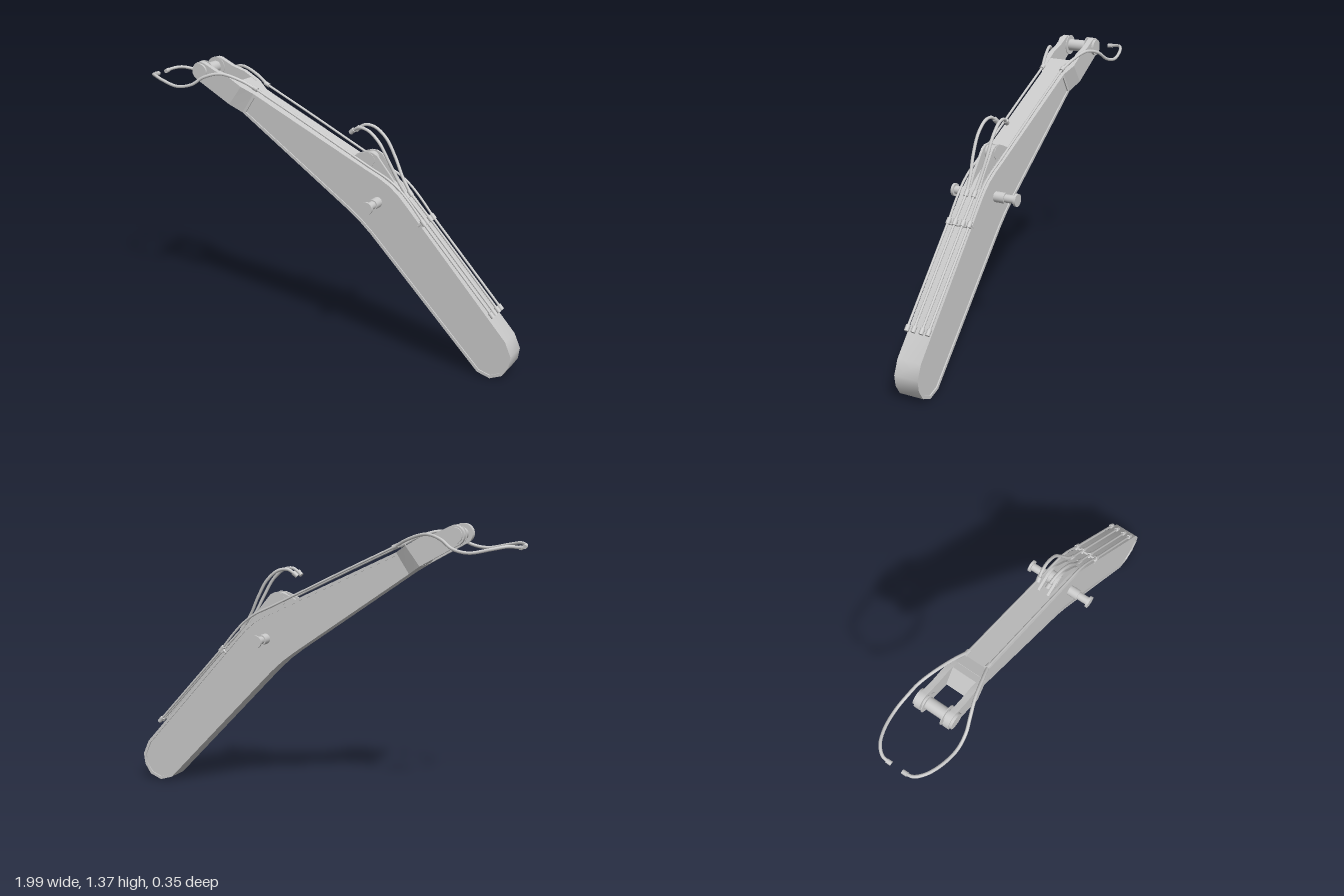
import * as THREE from 'three';
import { toCreasedNormals } from 'three/addons/utils/BufferGeometryUtils.js';

const material = new THREE.MeshStandardMaterial({ color: 0xcccccc });
const V2 = (p) => new THREE.Vector2(p[0], p[1]);
const V3 = (p) => new THREE.Vector3(p[0], p[1], p[2]);

export function createModel() {
  const model = new THREE.Group();

  const add = (name, geometry) => {
    const mesh = new THREE.Mesh(geometry, material);
    mesh.name = name;
    model.add(mesh);
    return mesh;
  };
  // Side outline extruded between two z positions
  const plate = (name, points, z0, z1, hole) => {
    const shape = new THREE.Shape(points.map(V2));
    if (hole) shape.holes.push(new THREE.Path(hole.map(V2)));
    const g = new THREE.ExtrudeGeometry(shape, { depth: z1 - z0, bevelEnabled: false });
    g.translate(0, 0, z0);
    return add(name, toCreasedNormals(g, 0.6));
  };
  // Cylinder along z
  const pin = (name, x, y, r, z0, z1, sides = 24) => {
    const g = new THREE.CylinderGeometry(r, r, Math.abs(z1 - z0), sides);
    g.rotateX(Math.PI / 2);
    g.translate(x, y, (z0 + z1) / 2);
    return add(name, g);
  };
  // Cylinder between two points
  const rod = (name, a, b, r, sides = 10) => {
    const p = V3(a), q = V3(b), d = q.clone().sub(p);
    const mesh = add(name, new THREE.CylinderGeometry(r, r, d.length(), sides));
    mesh.position.copy(p).add(q).multiplyScalar(0.5);
    mesh.quaternion.setFromUnitVectors(new THREE.Vector3(0, 1, 0), d.normalize());
    return mesh;
  };
  const hose = (name, points, r, segments = 48) =>
    add(name, new THREE.TubeGeometry(new THREE.CatmullRomCurve3(points.map(V3)), segments, r, 8));
  // Moves a counter-clockwise outline inward by d
  const inset = (pts, d) => pts.map((p, i) => {
    const a = V2(pts[(i + pts.length - 1) % pts.length]), b = V2(p), c = V2(pts[(i + 1) % pts.length]);
    const u = b.clone().sub(a).normalize(), v = c.clone().sub(b).normalize();
    const n = new THREE.Vector2(-u.y - v.y, u.x + v.x).normalize();
    const k = d / (n.x * -u.y + n.y * u.x);
    return [b.x + n.x * k, b.y + n.y * k];
  });

  // Bent box beam with a raised rim around its side panels
  const outline = [
    [-0.40, 1.237], [-0.465, 1.137], [0.13, 0.723], [0.19, 0.677], [0.25, 0.622], [0.31, 0.56],
    [0.825, 0.025], [0.89, 0.005], [0.95, 0.03], [0.982, 0.08], [0.99, 0.135], [0.96, 0.205],
    [0.44, 0.787], [0.40, 0.83], [0.35, 0.873], [0.29, 0.908], [0.22, 0.94],
  ];
  const panel = inset(outline, 0.014);
  plate('beamPanels', inset(outline, 0.007), -0.056, 0.056);
  plate('beamRim', outline, -0.062, 0.062, panel);

  // Flared section joining the beam to the fork
  const flare = new THREE.BoxGeometry(1, 1, 1);
  const pos = flare.attributes.position;
  for (let i = 0; i < pos.count; i++) {
    const beamEnd = pos.getX(i) > 0, top = pos.getY(i) > 0;
    const [x, y] = beamEnd ? (top ? [-0.40, 1.237] : [-0.465, 1.137])
      : (top ? [-0.455, 1.272] : [-0.525, 1.177]);
    pos.setXYZ(i, x, y, Math.sign(pos.getZ(i)) * (beamEnd ? 0.062 : 0.09));
  }
  flare.computeVertexNormals();
  add('flare', flare);
  plate('forkWeb', [[-0.455, 1.27], [-0.49, 1.29], [-0.55, 1.2], [-0.525, 1.178]], -0.065, 0.065);

  // Fork arms with rounded tips
  const tip = [-0.69, 1.325];
  const arm = [[-0.525, 1.177], [-0.455, 1.272], [-0.53, 1.315], [-0.6, 1.335]];
  for (let i = 0; i <= 12; i++) {
    const t = 1.2 + (i / 12) * 3.0;
    arm.push([tip[0] + 0.048 * Math.cos(t), tip[1] + 0.048 * Math.sin(t)]);
  }

  // Fork pin
  pin('forkPin', ...tip, 0.03, -0.1, 0.1);

  // Bracket with a cross boss on the upper bend
  const lug = [[0.12, 0.98], [0.30, 0.88], [0.40, 0.82], [0.35, 0.9], [0.29, 0.975],
    [0.265, 1.005], [0.24, 1.017], [0.21, 1.018], [0.18, 1.008]];
  pin('bracketBoss', 0.22, 0.98, 0.034, -0.034, 0.034);

  for (const s of [1, -1]) {
    const side = s > 0 ? 'left' : 'right';
    const at = (points) => points.map(([x, y, z]) => [x, y, z * s]);
    const slab = (name, pts, a, b) => plate(name, pts, Math.min(a * s, b * s), Math.max(a * s, b * s));

    slab(side + 'ForkArm', arm, 0.062, 0.09);
    pin(side + 'ForkBoss', ...tip, 0.04, s * 0.062, s * 0.102);
    pin(side + 'ForkWasher', ...tip, 0.05, s * 0.048, s * 0.052);
    slab(side + 'BracketPlate', lug, 0.02, 0.032);

    // Stepped trunnion
    pin(side + 'TrunnionBase', 0.283, 0.785, 0.026, s * 0.05, s * 0.11);
    pin(side + 'TrunnionShaft', 0.283, 0.785, 0.02, s * 0.1, s * 0.17);
    pin(side + 'TrunnionFlange', 0.283, 0.785, 0.031, s * 0.163, s * 0.175);

    // Outer pipe along the whole beam
    const z = 0.056;
    const low = [0.885, 0.325, z], mid = [0.525, 0.72, z], high = [-0.39, 1.262, z];
    rod(side + 'OuterLowerPipe', ...at([low, mid]), 0.006);
    hose(side + 'OuterUpperPipe', at([mid, [0.46, 0.8, z], [0.40, 0.862, z], [0.34, 0.905, z],
      [0.25, 0.948, z], [0.1, 1.022, z], [-0.15, 1.146, z], high]), 0.006);
    // Loose hose passing around the fork
    hose(side + 'ForkHose', at([high, [-0.46, 1.3, 0.078], [-0.56, 1.329, 0.108], [-0.64, 1.31, 0.137],
      [-0.70, 1.27, 0.155], [-0.78, 1.254, 0.163], [-0.88, 1.272, 0.148], [-0.95, 1.285, 0.118],
      [-0.985, 1.28, 0.08], [-0.99, 1.275, 0.045]]), 0.008);
    rod(side + 'ForkHoseEnd', ...at([[-0.99, 1.277, 0.055], [-0.99, 1.274, 0.03]]), 0.011);
    rod(side + 'ForkHoseFitting', ...at([[-0.38, 1.258, z], [-0.405, 1.27, z]]), 0.011);

    // Inner pipe and the hose curling up over the bracket
    const n = 0.021;
    rod(side + 'InnerLowerPipe', ...at([[0.885, 0.325, n], [0.525, 0.72, n]]), 0.006);
    rod(side + 'InnerUpperPipe', ...at([[0.525, 0.72, n], [0.42, 0.83, n]]), 0.006);
    hose(side + 'BracketHose', at([[0.42, 0.83, n], [0.375, 0.9, 0.027], [0.33, 0.99, 0.037],
      [0.28, 1.075, 0.04], [0.22, 1.125, 0.038], [0.17, 1.132, 0.034], [0.135, 1.112, 0.029]]), 0.008);
    rod(side + 'BracketHoseEnd', ...at([[0.142, 1.118, 0.03], [0.122, 1.1, 0.027]]), 0.012);
    rod(side + 'BracketHoseFitting', ...at([[0.43, 0.818, n], [0.41, 0.842, n]]), 0.011);

    // Fittings at the pipe ends and joints
    for (const k of [z, n]) {
      rod(side + 'PipeEnd', ...at([[0.895, 0.314, k], [0.875, 0.336, k]]), 0.011);
      rod(side + 'PipeJoint', ...at([[0.535, 0.709, k], [0.515, 0.731, k]]), 0.011);
      rod(side + 'PipeStandoff', ...at([[0.525, 0.72, k], [0.50, 0.70, k]]), 0.008);
    }
  }

  // Clamp bar across the four pipes
  rod('pipeClamp', [0.522, 0.706, -0.066], [0.522, 0.706, 0.066], 0.006);

  return model;
}
